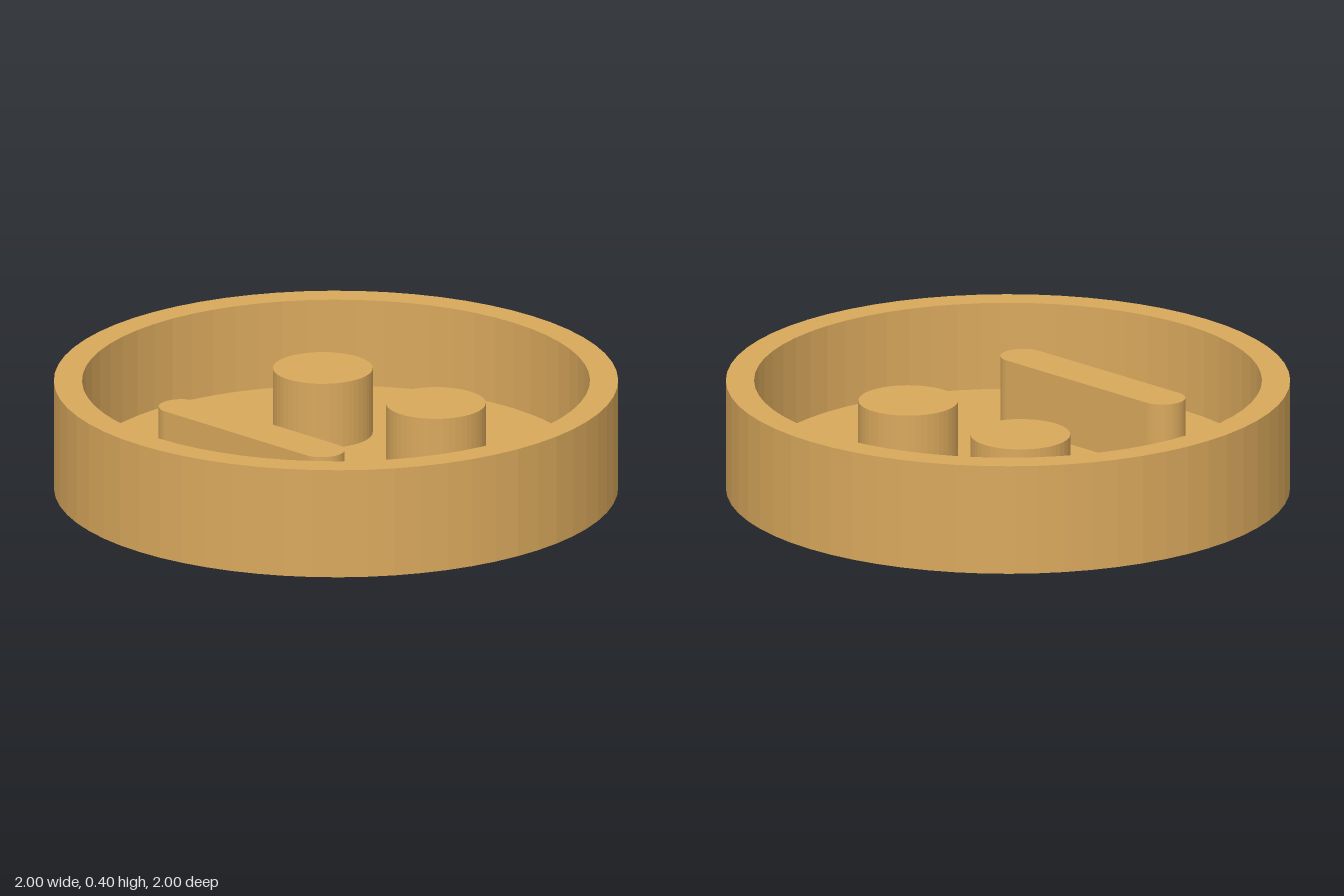
import * as THREE from 'three';

const FLOOR = 0.08, RIM = 0.4, PEG_TOP = 0.32;

export function createModel() {
  const group = new THREE.Group();
  const tan = new THREE.MeshStandardMaterial({ color: 0xd9a85c, flatShading: true });
  tan.name = 'tan';

  const add = (name, geometry, x = 0, y = 0, z = 0) => {
    const mesh = new THREE.Mesh(geometry, tan);
    mesh.name = name;
    mesh.position.set(x, y, z);
    group.add(mesh);
  };

  // Round tray: underside, outer wall, rim, inner wall and floor
  const profile = [[0, 0], [1, 0], [1, RIM], [0.9, RIM], [0.9, FLOOR], [0, FLOOR]]
    .map(([r, y]) => new THREE.Vector2(r, y));
  add('tray', new THREE.LatheGeometry(profile, 64));

  // Two round eye pegs standing on the floor
  const height = PEG_TOP - FLOOR;
  for (const [name, x] of [['rightEye', -0.297], ['leftEye', 0.262]]) {
    add(name, new THREE.CylinderGeometry(0.177, 0.177, height, 48), x, FLOOR + height / 2, -0.238);
  }

  // Mouth bar with rounded ends
  const r = 0.081, half = 0.428 - r;
  const bar = new THREE.Shape();
  bar.absarc(half, 0, r, -Math.PI / 2, Math.PI / 2, false);
  bar.absarc(-half, 0, r, Math.PI / 2, Math.PI * 1.5, false);
  bar.closePath();
  const mouth = new THREE.ExtrudeGeometry(bar, { depth: height, bevelEnabled: false, curveSegments: 16 });
  mouth.rotateX(-Math.PI / 2);
  add('mouth', mouth, -0.01, FLOOR, 0.418);

  return group;
}
